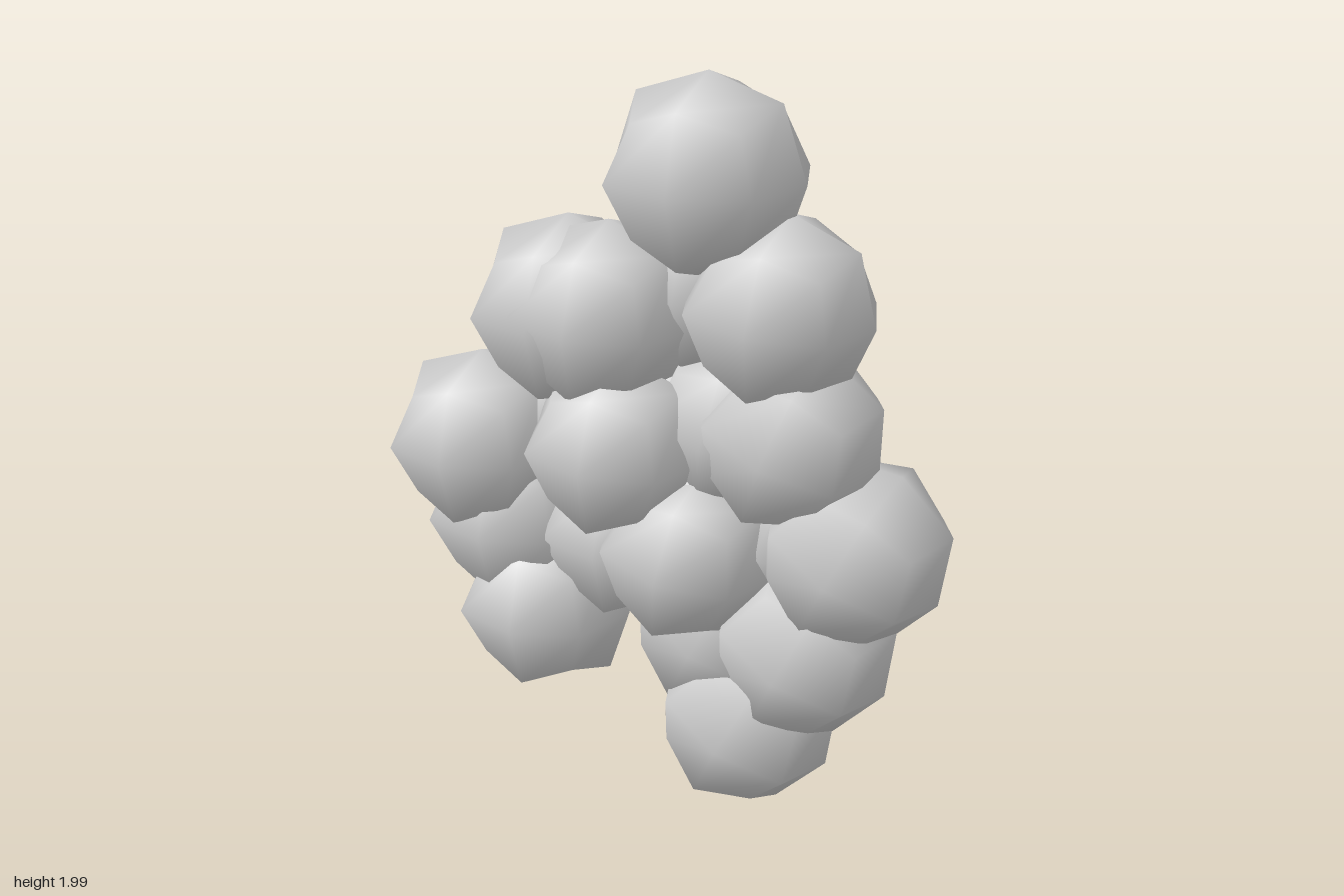
import * as THREE from 'three';
import { mergeVertices } from 'three/addons/utils/BufferGeometryUtils.js';

// A cube subdivided once and rounded: face centres at 1, edges at 0.75, corners at 0.556
function roundedBerry() {
  const box = new THREE.BoxGeometry(2, 2, 2, 2, 2, 2);
  box.deleteAttribute('uv');
  box.deleteAttribute('normal');
  const geo = mergeVertices(box);
  const pos = geo.attributes.position;
  const v = new THREE.Vector3();
  const pull = [1, 1, 0.75, 0.556];
  for (let i = 0; i < pos.count; i++) {
    v.fromBufferAttribute(pos, i);
    const k = pull[Math.round(Math.abs(v.x) + Math.abs(v.y) + Math.abs(v.z))];
    pos.setXYZ(i, v.x * k, v.y * k, v.z * k);
  }
  geo.computeVertexNormals();
  return geo;
}

// Berries as x, y, z, radius, tilt in degrees
const layers = {
  outerBerry: [
    [0.105, 1.74, 0.03, 0.26, 0],
    [0.305, 1.42, 0.03, 0.25, -5],
    [-0.285, 1.345, 0.03, 0.255, 0],
    [-0.535, 0.955, 0.07, 0.248, 0],
    [0.345, 1.085, 0.03, 0.248, -20],
    [0.525, 0.8, 0.03, 0.252, -27],
    [-0.46, 0.73, 0.01, 0.25, 0],
    [-0.365, 0.48, 0.035, 0.245, 0],
    [0.395, 0.5, 0.03, 0.25, -26],
    [0.142, 0.498, -0.02, 0.25, -27],
    [0.242, 0.26, 0.035, 0.25, -27],
  ],
  frontBerry: [
    [-0.163, 1.36, 0.07, 0.25, -3],
    [-0.105, 1.02, 0.115, 0.245, -3],
    [0.09, 0.745, 0.09, 0.243, -10],
  ],
  backBerry: [
    [0.055, 1.43, -0.11, 0.25, 0],
    [-0.335, 1.02, -0.11, 0.25, 0],
    [0.29, 0.78, -0.095, 0.25, -20],
  ],
  innerBerry: [
    [0.16, 1.08, -0.03, 0.24, -10],
    [0, 1.03, -0.05, 0.24, 0],
    [-0.12, 0.74, 0.01, 0.245, 0],
    [0.08, 0.8, -0.03, 0.24, -10],
  ],
};

export function createModel() {
  const cluster = new THREE.Group();
  cluster.name = 'berryCluster';
  const geo = roundedBerry();
  const mat = new THREE.MeshStandardMaterial({ color: 0xcccccc });
  for (const [name, berries] of Object.entries(layers)) {
    berries.forEach(([x, y, z, r, tilt], i) => {
      const berry = new THREE.Mesh(geo, mat);
      berry.name = name + (i + 1);
      berry.position.set(x, y, z);
      berry.scale.setScalar(r);
      berry.rotation.z = THREE.MathUtils.degToRad(tilt);
      cluster.add(berry);
    });
  }
  return cluster;
}
